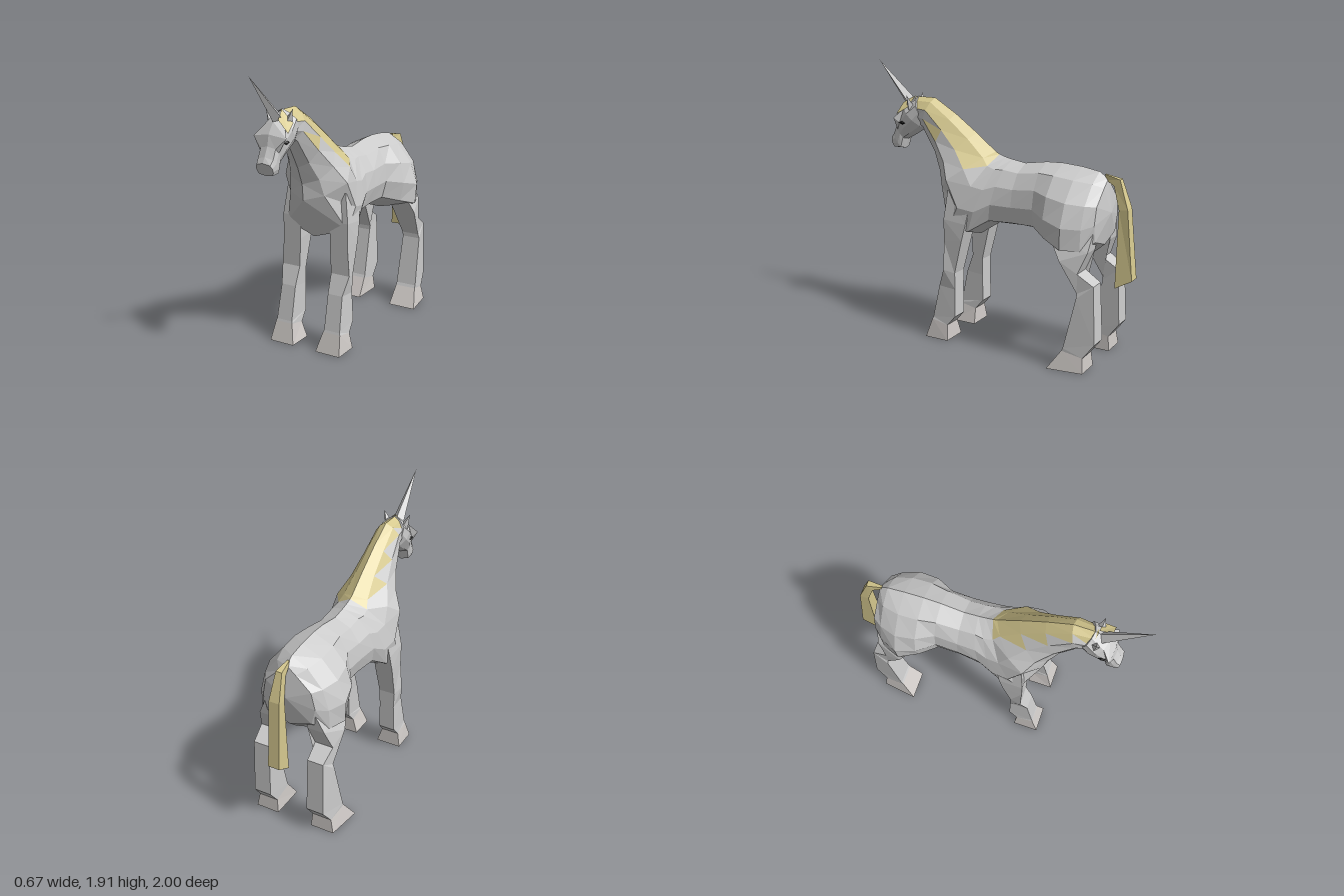
import * as THREE from 'three';

const material = color => new THREE.MeshStandardMaterial({ color, flatShading: true });
const coat = material(0xcccccc), hair = material(0xd6c98f), hoofMat = material(0xcec9c6), dark = material(0x111111);

const flipX = tris => tris.map(t => [...t].reverse().map(([x, y, z]) => [-x, y, z]));

// Mesh from a list of triangles
function triMesh(name, tris, mat) {
  const g = new THREE.BufferGeometry();
  g.setAttribute('position', new THREE.Float32BufferAttribute(tris.flat(2), 3));
  g.computeVertexNormals();
  const m = new THREE.Mesh(g, mat);
  m.name = name;
  return m;
}

// Half section between a crest point and a throat point, with four half widths
const STEPS = [0, 0.12, 0.35, 0.62, 0.88, 1];
const halfRing = ([cz, cy, tz, ty, ...w]) => STEPS.map((t, i) =>
  [[0, ...w, 0][i], cy + (ty - cy) * t, cz + (tz - cz) * t]);

// Skin the half sections; pick(ring, column, tri) chooses the triangles kept
function halfSkin(rows, pick = () => true) {
  const rings = rows.map(halfRing), tris = [];
  for (let i = 0; i + 1 < rings.length; i++) {
    const a = rings[i], b = rings[i + 1];
    for (let j = 0; j < 5; j++) {
      if (pick(i, j, 0)) tris.push([a[j], a[j + 1], b[j]]);
      if (pick(i, j, 1)) tris.push([a[j + 1], b[j + 1], b[j]]);
    }
  }
  return tris;
}
// Close the first or last half section with a fan around a centre
function halfCap(row, dz, front) {
  const r = halfRing(row), c = [0, (r[0][1] + r[5][1]) / 2, (r[0][2] + r[5][2]) / 2 + dz];
  return r.slice(1).map((p, j) => front ? [c, p, r[j]] : [c, r[j], p]);
}

// Four-sided loft, closed at both ends: rows of front z, y, back z, y, inner x, outer x
function limb(rows) {
  const rings = rows.map(([fz, fy, bz, by, xi, xo, backOut = xo]) =>
    [[xi, by, bz], [backOut, by, bz], [xo, fy, fz], [xi, fy, fz]]);
  const s = rings[0], e = rings[rings.length - 1];
  const tris = [[s[0], s[2], s[1]], [s[0], s[3], s[2]], [e[0], e[1], e[2]], [e[0], e[2], e[3]]];
  for (let i = 0; i + 1 < rings.length; i++) for (let j = 0; j < 4; j++) {
    const a = rings[i], b = rings[i + 1], k = (j + 1) % 4;
    tris.push([a[j], a[k], b[j]], [a[k], b[k], b[j]]);
  }
  return tris;
}

export function createModel() {
  const model = new THREE.Group();
  model.name = 'hornedHorse';

  // Neck and trunk, from poll to rump: crest z, y, underside z, y, half widths
  const trunk = [
    [0.68, 1.67, 0.62, 1.46, 0.04, 0.075, 0.075, 0.05],
    [0.52, 1.67, 0.60, 1.44, 0.05, 0.09, 0.09, 0.06],
    [0.35, 1.57, 0.50, 1.27, 0.06, 0.11, 0.125, 0.075],
    [0.18, 1.45, 0.45, 1.15, 0.07, 0.14, 0.175, 0.11],
    [0.03, 1.335, 0.44, 1.04, 0.09, 0.195, 0.24, 0.13],
    [0.0, 1.32, 0.31, 0.76, 0.11, 0.21, 0.25, 0.235],
    [-0.05, 1.305, 0.15, 0.74, 0.12, 0.2, 0.235, 0.22],
    [-0.10, 1.295, 0.0, 0.84, 0.11, 0.18, 0.205, 0.18],
    [-0.20, 1.28, -0.18, 0.845, 0.11, 0.175, 0.19, 0.16],
    [-0.36, 1.305, -0.34, 0.84, 0.12, 0.175, 0.19, 0.16],
    [-0.48, 1.31, -0.46, 0.79, 0.14, 0.235, 0.27, 0.24],
    [-0.62, 1.30, -0.60, 0.74, 0.14, 0.25, 0.305, 0.295],
    [-0.74, 1.28, -0.72, 0.74, 0.11, 0.21, 0.25, 0.25],
    [-0.80, 1.24, -0.79, 0.8, 0.06, 0.165, 0.19, 0.16],
  ];
  // The mane colours the upper neck skin and falls lower on the left
  const leftMane = (i, j, t) => (i < 4 && j < 2) || (i === 1 && j === 2 && t === 1) ||
    (i === 4 && (j === 0 || (j === 1 && t === 0)));
  const rightMane = (i, j, t) => (i < 4 && (j === 0 || (j === 1 && t === 0))) || (i === 4 && j === 0);
  const not = pick => (...a) => !pick(...a);
  const caps = [...halfCap(trunk[0], 0, true), ...halfCap(trunk[trunk.length - 1], -0.035, false)];
  model.add(triMesh('body', [...halfSkin(trunk, not(leftMane)), ...caps,
    ...flipX([...halfSkin(trunk, not(rightMane)), ...caps])], coat));
  model.add(triMesh('mane', [...halfSkin(trunk, leftMane), ...flipX(halfSkin(trunk, rightMane))], hair));

  // Head, from muzzle to poll
  const skull = [
    [0.875, 1.375, 0.84, 1.29, 0.05, 0.06, 0.06, 0.052],
    [0.855, 1.41, 0.78, 1.29, 0.055, 0.065, 0.065, 0.055],
    [0.825, 1.47, 0.76, 1.36, 0.055, 0.068, 0.068, 0.055],
    [0.81, 1.54, 0.70, 1.39, 0.12, 0.085, 0.085, 0.055],
    [0.76, 1.61, 0.60, 1.45, 0.07, 0.1, 0.095, 0.06],
    [0.66, 1.675, 0.58, 1.5, 0.045, 0.085, 0.085, 0.06],
  ];
  const head = [...halfSkin(skull), ...halfCap(skull[0], 0, true), ...halfCap(skull[5], 0, false)];
  model.add(triMesh('head', [...head, ...flipX(head)], coat));

  // Forelock swept to one side
  const lock = [[0.01, 1.675, 0.68], [0.04, 1.625, 0.765], [0.118, 1.55, 0.775], [0.1, 1.6, 0.69]];
  const forelock = triMesh('forelock', [[lock[0], lock[1], lock[2]], [lock[0], lock[2], lock[3]]], hair.clone());
  forelock.material.side = THREE.DoubleSide;
  model.add(forelock);

  // Horn
  const horn = new THREE.Mesh(new THREE.ConeGeometry(0.045, 0.43, 4), coat);
  horn.name = 'horn';
  horn.position.set(0, 1.755, 0.847);
  horn.rotation.x = 0.76;
  model.add(horn);

  const frontLeg = [
    [0.28, 1.08, 0.10, 1.03, 0.12, 0.225],
    [0.30, 0.88, 0.13, 0.86, 0.115, 0.252, 0.245],
    [0.30, 0.72, 0.16, 0.74, 0.115, 0.25],
    [0.30, 0.52, 0.22, 0.5, 0.125, 0.265, 0.245],
    [0.35, 0.39, 0.22, 0.38, 0.13, 0.24],
    [0.40, 0.15, 0.22, 0.18, 0.13, 0.25],
    [0.405, 0.135, 0.28, 0.11, 0.125, 0.255],
    [0.45, 0, 0.27, 0, 0.09, 0.275],
  ];
  const hindLeg = [
    [-0.50, 0.9, -0.79, 0.95, 0.1, 0.25, 0.17],
    [-0.60, 0.735, -0.775, 0.8, 0.12, 0.292, 0.24],
    [-0.72, 0.53, -0.72, 0.66, 0.14, 0.27],
    [-0.72, 0.5, -0.83, 0.59, 0.145, 0.28, 0.26],
    [-0.64, 0.15, -0.85, 0.2, 0.14, 0.295, 0.265],
    [-0.63, 0.13, -0.775, 0.1, 0.14, 0.295, 0.28],
    [-0.54, 0, -0.785, 0, 0.13, 0.335, 0.3],
  ];
  for (const side of ['left', 'right']) {
    const s = side === 'right' ? -1 : 1;
    const placed = tris => s < 0 ? flipX(tris) : tris;
    // Legs and hooves
    for (const [part, rows] of [['Front', frontLeg], ['Hind', hindLeg]]) {
      model.add(triMesh(`${side}${part}Leg`, placed(limb(rows.slice(0, -1))), coat));
      model.add(triMesh(`${side}${part}Hoof`, placed(limb(rows.slice(-2))), hoofMat));
    }
    // Ears
    const ear = new THREE.Mesh(new THREE.ConeGeometry(0.032, 0.1, 4), coat);
    ear.name = `${side}Ear`;
    ear.position.set(s * 0.08, 1.64, 0.69);
    ear.rotation.set(0.1, 0, -s * 0.4);
    model.add(ear);
    // Eyes
    const eye = new THREE.Mesh(new THREE.OctahedronGeometry(1), dark);
    eye.name = `${side}Eye`;
    eye.position.set(s * 0.088, 1.487, 0.745);
    eye.scale.set(0.014, 0.013, 0.034);
    model.add(eye);
  }

  // Tail
  model.add(triMesh('tail', limb([
    [-0.79, 1.23, -0.78, 1.268, -0.008, 0.008],
    [-0.85, 1.2, -0.89, 1.245, -0.022, 0.022],
    [-0.895, 1.05, -0.955, 1.06, -0.035, 0.04],
    [-0.89, 0.53, -1.0, 0.59, -0.042, 0.058, 0.04],
  ]), hair));

  return model;
}
